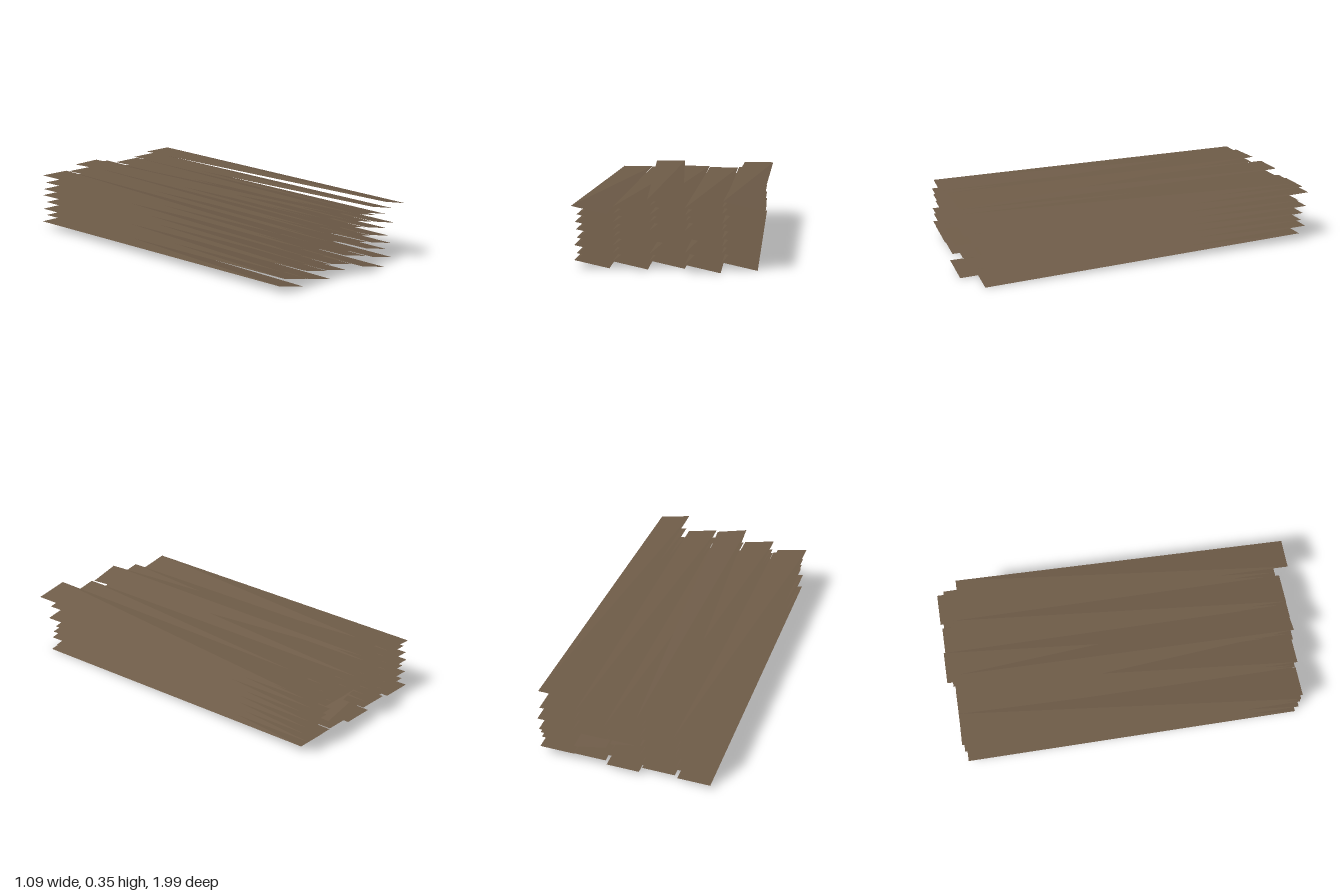
import * as THREE from 'three';

const LAYER = 0.0388, WIDTH = 0.175, LENGTH = 1.83;

export function createModel() {
  const group = new THREE.Group();
  group.name = 'plankStack';
  const wood = new THREE.MeshStandardMaterial({ color: 0x705d49, side: THREE.DoubleSide });
  wood.name = 'weathered wood';

  // Thin plank: its front right corner dips one layer; a tipped one dips along the whole right edge.
  // x, z locate the front right corner; skew is the sideways drift towards the back.
  function plank(layer, x, z, skew = 0.135, tipped = false) {
    const low = layer * LAYER, top = low + LAYER;
    const turn = (WIDTH * skew) / LENGTH;
    const fr = [x, low, z];
    const fl = [x - WIDTH, top, z - turn];
    const br = [x + skew, tipped ? low : top, z - LENGTH];
    const bl = [x + skew - WIDTH, top, z - turn - LENGTH];
    const faces = [fl, fr, br, fl, br, bl];
    if (!tipped) faces.push(fl, bl, fr, bl, br, fr); // underside
    const geo = new THREE.BufferGeometry();
    geo.setAttribute('position', new THREE.Float32BufferAttribute(faces.flat(), 3));
    geo.computeVertexNormals();
    const mesh = new THREE.Mesh(geo, wood);
    mesh.name = tipped ? 'tippedPlank' : 'plank';
    group.add(mesh);
  }

  // Front right corners of the five columns, with the uneven ends of each layer
  const firstX = [-0.355, -0.34, -0.355, -0.34, -0.345, -0.35, -0.34, -0.37];
  const middleX = [-0.163, 0.02, 0.195, 0.378];
  const endZ = [
    [0.86, 0.89, 0.87, 0.985, 0.92],
    [0.88, 0.87, 0.90, 0.87, 0.88],
    [0.87, 0.89, null, null, 0.91],
    [0.88, 0.86, 0.94, 0.88, 0.90],
    [0.86, 0.88, 0.89, 0.90, 0.88],
    [0.87, 0.89, 0.87, 0.86, 0.93],
    [0.88, 0.87, 0.90, 0.91, 0.87],
    [0.86, 0.895, 0.845, 0.93, 0.91],
  ];
  endZ.forEach((row, layer) => row.forEach((z, i) => {
    if (z === null) return; // gap where two planks are missing
    const x = i === 0 ? firstX[layer] : middleX[i - 1];
    const skew = layer === 7 && i === 0 ? 0.165 : 0.135;
    plank(layer, x, z, skew, layer === 3 && (i === 2 || i === 3));
  }));

  // Two loose planks on top
  plank(8, 0.01, 0.905, -0.01);
  plank(8, 0.38, 0.99, 0.165);

  return group;
}
